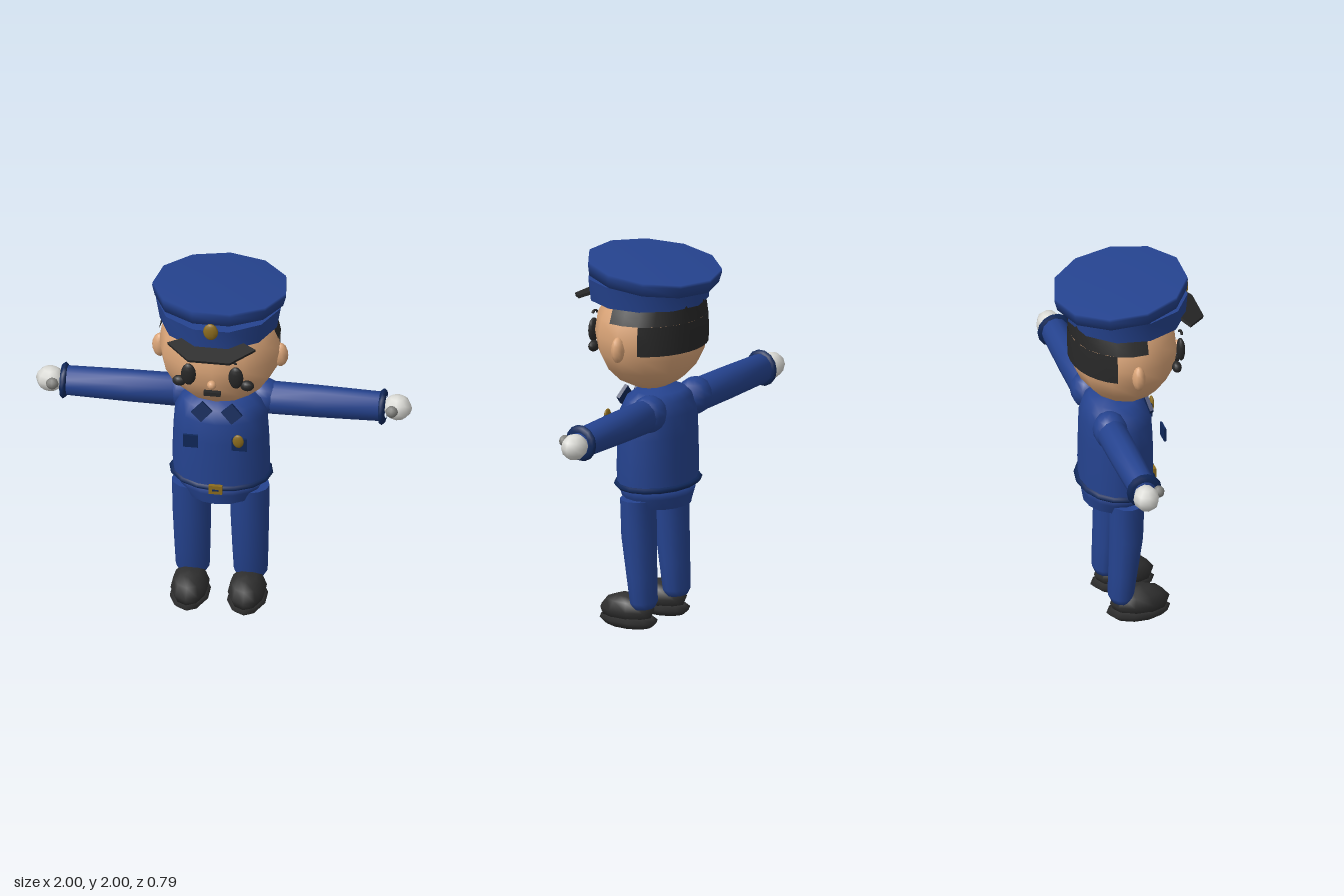
import * as THREE from 'three';

const mat = (name, color) => new THREE.MeshStandardMaterial({ name, color });

// Closed skin over elliptical rings [y, rx, rz, cz], listed from bottom to top.
// Repeating a ring keeps a sharp edge there.
function loft(rings, n = 12, start = 0) {
  const pos = [], idx = [];
  for (const [y, rx, rz, cz = 0] of rings)
    for (let i = 0; i < n; i++) {
      const a = start + (i / n) * Math.PI * 2;
      pos.push(rx * Math.sin(a), y, cz + rz * Math.cos(a));
    }
  for (let j = 0; j < rings.length - 1; j++)
    for (let i = 0; i < n; i++) {
      const a = j * n + i, b = j * n + ((i + 1) % n);
      idx.push(a, b, a + n, b, b + n, a + n);
    }
  return surface(pos, idx);
}

function surface(pos, idx) {
  const g = new THREE.BufferGeometry();
  g.setAttribute('position', new THREE.Float32BufferAttribute(pos, 3));
  g.setIndex(idx);
  g.computeVertexNormals();
  return g;
}

// Hair panel wrapped round the back of the head; rows are [y, rx, rz]
function hairPanel(rows, zFront, cz = -0.02, n = 12) {
  const pos = [], idx = [];
  rows.forEach(([y, rx, rz], j) => {
    const a0 = Math.acos((zFront - cz) / rz);
    for (let i = 0; i <= n; i++) {
      const a = a0 + (i / n) * (Math.PI * 2 - 2 * a0);
      pos.push(rx * Math.sin(a), y, cz + rz * Math.cos(a));
      if (j && i < n) {
        const p = (j - 1) * (n + 1) + i, q = p + n + 1;
        idx.push(p, p + 1, q, p + 1, q + 1, q);
      }
    }
  });
  return surface(pos, idx);
}

export function createModel() {
  const model = new THREE.Group();
  model.name = 'officer';
  const blue = mat('uniformBlue', 0x25438f);
  const navy = mat('trimNavy', 0x10285a);
  const skin = mat('skin', 0xdba578);
  const black = mat('black', 0x272727);
  const shoeBlack = mat('shoeBlack', 0x2f2f2f);
  const hairBlack = mat('hairBlack', 0x282828);
  hairBlack.side = THREE.DoubleSide;
  const gold = mat('gold', 0x8c6c1e);
  const white = mat('gloveWhite', 0xdadad5);
  const grey = mat('thumbGrey', 0x83837f);

  const add = (name, geo, material, x = 0, y = 0, z = 0) => {
    const m = new THREE.Mesh(geo, material);
    m.name = name;
    m.position.set(x, y, z);
    model.add(m);
    return m;
  };
  const ball = (name, material, x, y, z, rx, ry, rz, w = 10, h = 8) => {
    const m = add(name, new THREE.SphereGeometry(1, w, h), material, x, y, z);
    m.scale.set(rx, ry, rz);
    return m;
  };
  const box = (name, material, x, y, z, w, h, d) =>
    add(name, new THREE.BoxGeometry(w, h, d), material, x, y, z);

  // Head and face
  ball('head', skin, 0, 1.59, -0.02, 0.325, 0.31, 0.285, 12, 10);
  ball('nose', skin, 0, 1.53, 0.28, 0.025, 0.025, 0.025);
  box('mouth', black, 0, 1.465, 0.26, 0.09, 0.022, 0.025);
  add('hairTop', hairPanel([[1.69, 0.322, 0.29], [1.74, 0.302, 0.29], [1.8, 0.272, 0.29]], 0.03), hairBlack);
  add('hairBack', hairPanel([[1.53, 0.328, 0.29], [1.61, 0.332, 0.292], [1.69, 0.322, 0.29]], -0.135), hairBlack);

  // Cap: eleven-sided band and a crown tilted up at the front
  add('capBand', loft([
    [1.77, 0, 0], [1.77, 0.315, 0.315], [1.77, 0.315, 0.315],
    [1.89, 0.335, 0.325], [1.89, 0.335, 0.325], [1.89, 0, 0],
  ], 11, Math.PI), blue, 0, 0, -0.005);
  const crown = add('capCrown', loft([
    [-0.037, 0, 0], [-0.037, 0.345, 0.35], [0.02, 0.36, 0.36], [0.037, 0.358, 0.358], [0.037, 0, 0],
  ], 11, Math.PI), blue, 0, 1.925, -0.035);
  crown.rotation.x = -0.112;
  ball('capBadge', gold, 0, 1.89, 0.316, 0.04, 0.05, 0.018);

  const visorShape = new THREE.Shape([
    [-0.14, -0.05], [0.14, -0.05], [0.235, 0], [0.11, 0.108], [-0.11, 0.108], [-0.235, 0],
  ].map(([x, y]) => new THREE.Vector2(x, y)));
  const visorGeo = new THREE.ExtrudeGeometry(visorShape, { depth: 0.016, bevelEnabled: false });
  visorGeo.rotateX(Math.PI / 2 + 0.3);
  add('visor', visorGeo, black, 0, 1.782, 0.287);

  // Torso, hips and belt
  add('torso', loft([
    [0.76, 0, 0, -0.06], [0.76, 0.255, 0.193, -0.062], [0.76, 0.255, 0.193, -0.062],
    [0.88, 0.26, 0.194, -0.062], [1.05, 0.254, 0.191, -0.062], [1.17, 0.245, 0.186, -0.064],
    [1.24, 0.21, 0.16, -0.07], [1.28, 0.15, 0.12, -0.08], [1.295, 0, 0, -0.09],
  ], 16), blue);
  add('hips', loft([
    [0.66, 0, 0, -0.065], [0.66, 0.19, 0.17, -0.066], [0.66, 0.19, 0.17, -0.066],
    [0.72, 0.225, 0.18, -0.065], [0.77, 0.24, 0.188, -0.063], [0.77, 0, 0, -0.06],
  ], 16), blue);
  add('belt', loft([
    [0.758, 0.24, 0.18], [0.765, 0.265, 0.2], [0.778, 0.276, 0.212],
    [0.79, 0.265, 0.2], [0.797, 0.24, 0.18],
  ], 16), navy, 0, 0, -0.064);
  box('buckle', gold, 0, 0.78, 0.143, 0.072, 0.05, 0.02);
  box('buckleSlot', navy, 0, 0.78, 0.155, 0.035, 0.008, 0.006);
  ball('chestBadge', gold, 0.125, 1.115, 0.173, 0.03, 0.04, 0.012);

  for (const s of [-1, 1]) {
    const side = s > 0 ? 'left' : 'right';

    // Facial features
    ball(side + 'Eye', black, s * 0.126, 1.575, 0.26, 0.04, 0.066, 0.022);
    ball(side + 'Cheek', black, s * 0.18, 1.505, 0.222, 0.038, 0.03, 0.026);
    const brow = add(side + 'Brow', new THREE.TorusGeometry(0.022, 0.008, 5, 6, Math.PI), black, s * 0.105, 1.66, 0.265);
    brow.rotation.z = s * 0.15;
    brow.scale.y = 0.7;
    ball(side + 'Ear', skin, s * 0.32, 1.555, -0.025, 0.042, 0.07, 0.035);

    // Collar flaps and breast pockets
    const collar = box(side + 'Collar', navy, s * 0.08, 1.235, 0.098, 0.075, 0.085, 0.02);
    collar.rotation.set(-0.25, 0, s * 0.75);
    box(side + 'Pocket', navy, s * 0.13, 1.088, 0.162, 0.08, 0.075, 0.012);

    // Shoulder, sleeve, cuff and glove
    ball(side + 'Shoulder', blue, s * 0.215, 1.2, -0.152, 0.105, 0.1, 0.092);
    const sleeve = add(side + 'Sleeve', loft([
      [0.2, 0, 0], [0.2, 0.091, 0.08], [0.5, 0.088, 0.079], [0.85, 0.08, 0.073], [0.85, 0, 0],
    ], 12), blue, 0, 1.195, -0.15);
    const cuff = add(side + 'Cuff', loft([
      [0.828, 0.06, 0.06], [0.832, 0.088, 0.086], [0.846, 0.099, 0.096],
      [0.862, 0.086, 0.084], [0.864, 0.06, 0.06],
    ], 14), navy, 0, 1.195, -0.148);
    sleeve.rotation.z = cuff.rotation.z = -s * Math.PI / 2;
    ball(side + 'Hand', white, s * 0.922, 1.193, -0.158, 0.078, 0.07, 0.07, 8, 6);
    ball(side + 'Thumb', grey, s * 0.902, 1.21, -0.083, 0.034, 0.032, 0.03, 8, 6);

    // Trouser leg, leaning back toward the heel
    add(side + 'Leg', loft([
      [0.11, 0, 0, -0.08], [0.115, 0.07, 0.05, -0.08], [0.15, 0.09, 0.068, -0.077],
      [0.3, 0.096, 0.077, -0.064], [0.5, 0.102, 0.09, -0.047],
      [0.71, 0.106, 0.093, -0.043], [0.71, 0.106, 0.093, -0.043], [0.71, 0, 0, -0.043],
    ], 12), blue, s * 0.154);

    // Shoe upper and sole
    add(side + 'Shoe', loft([
      [0.05, 0, 0, 0.03], [0.05, 0.085, 0.145, 0.03], [0.095, 0.102, 0.163, 0.028],
      [0.145, 0.085, 0.125, 0.025], [0.17, 0.05, 0.06, 0.025], [0.178, 0, 0, 0.03],
    ], 10), shoeBlack, s * 0.152);
    add(side + 'Sole', loft([
      [0, 0, 0, 0.02], [0.003, 0.075, 0.13, 0.02], [0.012, 0.085, 0.145, 0.02],
      [0.04, 0.107, 0.175, 0.02], [0.06, 0.085, 0.145, 0.02], [0.06, 0, 0, 0.02],
    ], 10), shoeBlack, s * 0.152);
  }
  return model;
}
